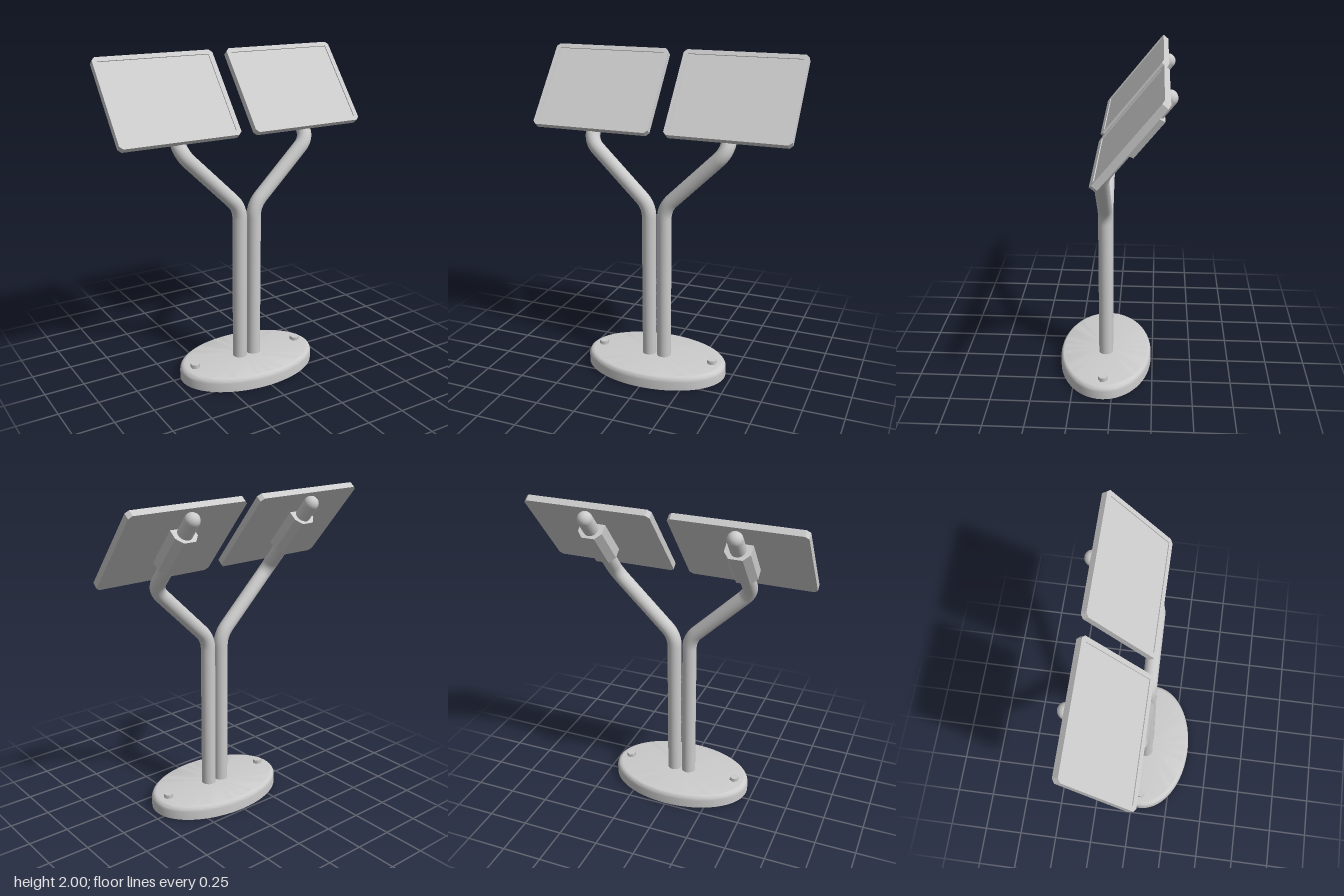
import * as THREE from 'three';
import { toCreasedNormals } from 'three/addons/utils/BufferGeometryUtils.js';

const material = new THREE.MeshStandardMaterial({ color: 0xcccccc, side: THREE.DoubleSide });
const TILT = -0.683;
const POLE_Z = 0.056;
const POLE_R = 0.045;
const V = (x, y, z) => new THREE.Vector3(x, y, z);

function add(parent, name, geometry, x = 0, y = 0, z = 0) {
  const mesh = new THREE.Mesh(geometry, material);
  mesh.name = name;
  mesh.position.set(x, y, z);
  parent.add(mesh);
  return mesh;
}

// Polyline with each inner corner rounded by a quadratic bend
function roundedPath(points, bend) {
  const path = new THREE.CurvePath();
  let from = points[0];
  for (let i = 1; i < points.length - 1; i++) {
    const p = points[i];
    const a = p.clone().add(points[i - 1].clone().sub(p).setLength(bend));
    const b = p.clone().add(points[i + 1].clone().sub(p).setLength(bend));
    path.add(new THREE.LineCurve3(from, a));
    path.add(new THREE.QuadraticBezierCurve3(a, p, b));
    from = b;
  }
  path.add(new THREE.LineCurve3(from, points[points.length - 1]));
  return path;
}

// Rectangle with cut corners
function cutRectangle(w, h, cut) {
  const x = w / 2, y = h / 2;
  return new THREE.Shape([
    [-x + cut, -y], [x - cut, -y], [x, -y + cut], [x, y - cut],
    [x - cut, y], [-x + cut, y], [-x, y - cut], [-x, -y + cut],
  ].map(([a, b]) => new THREE.Vector2(a, b)));
}

// Oval foot with a rounded top rim
function baseGeometry() {
  const profile = [new THREE.Vector2(0, 0), new THREE.Vector2(0.46, 0)];
  for (let i = 0; i <= 6; i++) {
    const a = (i / 6) * Math.PI / 2;
    profile.push(new THREE.Vector2(0.425 + 0.035 * Math.cos(a), 0.053 + 0.035 * Math.sin(a)));
  }
  profile.push(new THREE.Vector2(0, 0.088));
  const geometry = new THREE.LatheGeometry(profile, 64);
  geometry.scale(1, 1, 0.297 / 0.46);
  return toCreasedNormals(geometry, 0.6);
}

// Tilted panel with a shallow recessed face and a clamp behind it
function createPanel() {
  const panel = new THREE.Group();
  const w = 0.77, h = 0.587, rim = 0.03;
  const frame = cutRectangle(w, h, 0.02);
  const x = w / 2 - rim, y = h / 2 - rim;
  frame.holes.push(new THREE.Path([
    new THREE.Vector2(-x, -y), new THREE.Vector2(-x, y),
    new THREE.Vector2(x, y), new THREE.Vector2(x, -y),
  ]));
  add(panel, 'panelFrame', new THREE.ExtrudeGeometry(frame, { depth: 0.04, bevelEnabled: false }));
  add(panel, 'panelFace', new THREE.BoxGeometry(2 * x, 2 * y, 0.034), 0, 0, 0.017);

  const section = new THREE.Shape([
    [-0.075, 0], [0.075, 0], [0.075, 0.06], [0.04, 0.1], [-0.04, 0.1], [-0.075, 0.06],
  ].map(([a, b]) => new THREE.Vector2(a, b)));
  const clamp = new THREE.ExtrudeGeometry(section, { depth: 0.263, bevelEnabled: false });
  clamp.rotateX(-Math.PI / 2);
  add(panel, 'clamp', clamp, 0, -0.125, 0);
  return panel;
}

export function createModel() {
  const model = new THREE.Group();
  model.name = 'twinPanelStand';
  add(model, 'base', baseGeometry(), 0, 0, 0.058);

  for (const [side, s] of [['left', 1], ['right', -1]]) {
    // Bent pole: upright, outward diagonal, then leaning back
    const end = V(s * 0.435, 1.911, -0.31);
    const path = roundedPath([
      V(s * 0.05, 0.08, POLE_Z), V(s * 0.05, 1.085, POLE_Z), V(s * 0.435, 1.462, POLE_Z), end,
    ], 0.07);
    add(model, side + 'Pole', new THREE.TubeGeometry(path, 160, POLE_R, 24));
    add(model, side + 'PoleEnd', new THREE.SphereGeometry(POLE_R, 24, 16), end.x, end.y, end.z);

    // Hexagonal bolt on the foot
    add(model, side + 'Bolt', new THREE.CylinderGeometry(0.03, 0.03, 0.03, 6), s * 0.375, 0.097, POLE_Z);

    const panel = createPanel();
    panel.name = side + 'Panel';
    panel.position.set(s * 0.435, 1.748, -0.126);
    panel.rotation.x = TILT;
    model.add(panel);
  }
  return model;
}
